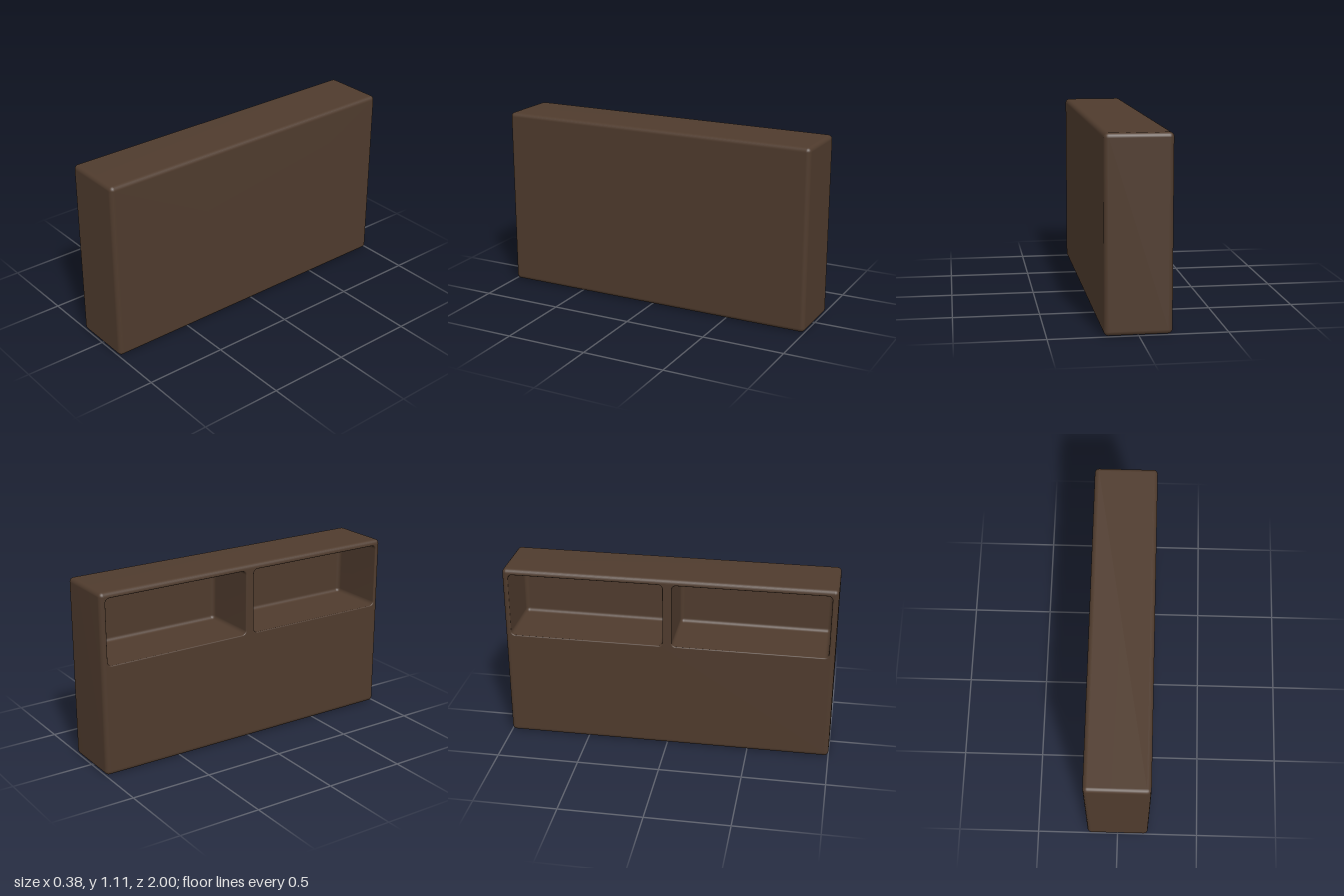
import * as THREE from 'three';

const WIDTH = 0.38, HEIGHT = 1.108, LENGTH = 2;
const X = WIDTH / 2;
const EDGE = 0.026, LIP = 0.007, FILLET = 0.025;

// Rounded rectangle in the z-y plane, shrunk by an inset
function ring({ z0, z1, y0, y1, r }, inset) {
  const points = [], radius = Math.max(r - inset, 0.001), d = inset + radius;
  const corners = [[z1 - d, y0 + d], [z1 - d, y1 - d], [z0 + d, y1 - d], [z0 + d, y0 + d]];
  corners.forEach(([z, y], k) => {
    for (let i = 0; i <= 6; i++) {
      const a = (k - 1 + i / 6) * Math.PI / 2;
      points.push(new THREE.Vector2(z + radius * Math.cos(a), y + radius * Math.sin(a)));
    }
  });
  return points;
}

// Skin over rings along x, closed by a cap at the last one
function loft(rect, profile, outward) {
  const pos = [], index = [];
  const tri = (a, b, c) => (outward ? index.push(a, c, b) : index.push(a, b, c));
  const n = 28;
  profile.forEach(([x, inset]) => ring(rect, inset).forEach(p => pos.push(x, p.y, p.x)));
  for (let i = 0; i < profile.length - 1; i++) {
    for (let j = 0; j < n; j++) {
      const a = i * n + j, b = i * n + (j + 1) % n;
      tri(a, b, a + n);
      tri(b, b + n, a + n);
    }
  }
  const last = (profile.length - 1) * n, centre = profile.length * n;
  pos.push(profile[profile.length - 1][0], (rect.y0 + rect.y1) / 2, (rect.z0 + rect.z1) / 2);
  for (let j = 0; j < n; j++) tri(centre, last + j, last + (j + 1) % n);
  const geometry = new THREE.BufferGeometry();
  geometry.setAttribute('position', new THREE.Float32BufferAttribute(pos, 3));
  geometry.setIndex(index);
  geometry.computeVertexNormals();
  return geometry;
}

// Quarter-round steps, as [along, across] from 0 to 1
const quarter = Array.from({ length: 7 }, (_, i) => {
  const a = i / 6 * Math.PI / 2;
  return [Math.sin(a), Math.cos(a)];
});

export function createModel() {
  const model = new THREE.Group();
  const brown = new THREE.MeshStandardMaterial({ color: 0x4f3b2d });
  brown.name = 'dark brown';
  const add = (name, geometry) => {
    const mesh = new THREE.Mesh(geometry, brown);
    mesh.name = name;
    model.add(mesh);
  };

  // Outer casing with rounded edges, open on the niche side
  const outer = { z0: -LENGTH / 2, z1: LENGTH / 2, y0: 0, y1: HEIGHT, r: EDGE };
  add('casing', loft(outer, [
    ...quarter.map(([s, c]) => [-X + EDGE * (1 - c), EDGE * (1 - s)]),
    ...quarter.map(([s, c]) => [X - EDGE * (1 - s), EDGE * (1 - c)]),
  ], true));

  // Two niches with softened lips and filleted backs
  const niches = [-1, 1].map(side => {
    const near = side * 0.028, far = side * 0.964;
    return { z0: Math.min(near, far), z1: Math.max(near, far), y0: 0.675, y1: 1.072, r: 0.025 };
  });
  const back = 0.168;
  const nicheProfile = [
    ...quarter.map(([s, c]) => [-X + LIP * (1 - c), -LIP * (1 - s)]),
    ...quarter.map(([s, c]) => [back - FILLET * (1 - s), FILLET * (1 - c)]),
  ];
  niches.forEach((rect, i) => add(i ? 'frontNiche' : 'backNiche', loft(rect, nicheProfile, false)));

  // Flat face around the niche openings
  const face = new THREE.Shape(ring(outer, EDGE));
  niches.forEach(rect => face.holes.push(new THREE.Path(ring(rect, -LIP))));
  add('nicheFace', new THREE.ShapeGeometry(face).rotateY(-Math.PI / 2).translate(-X, 0, 0));

  return model;
}
